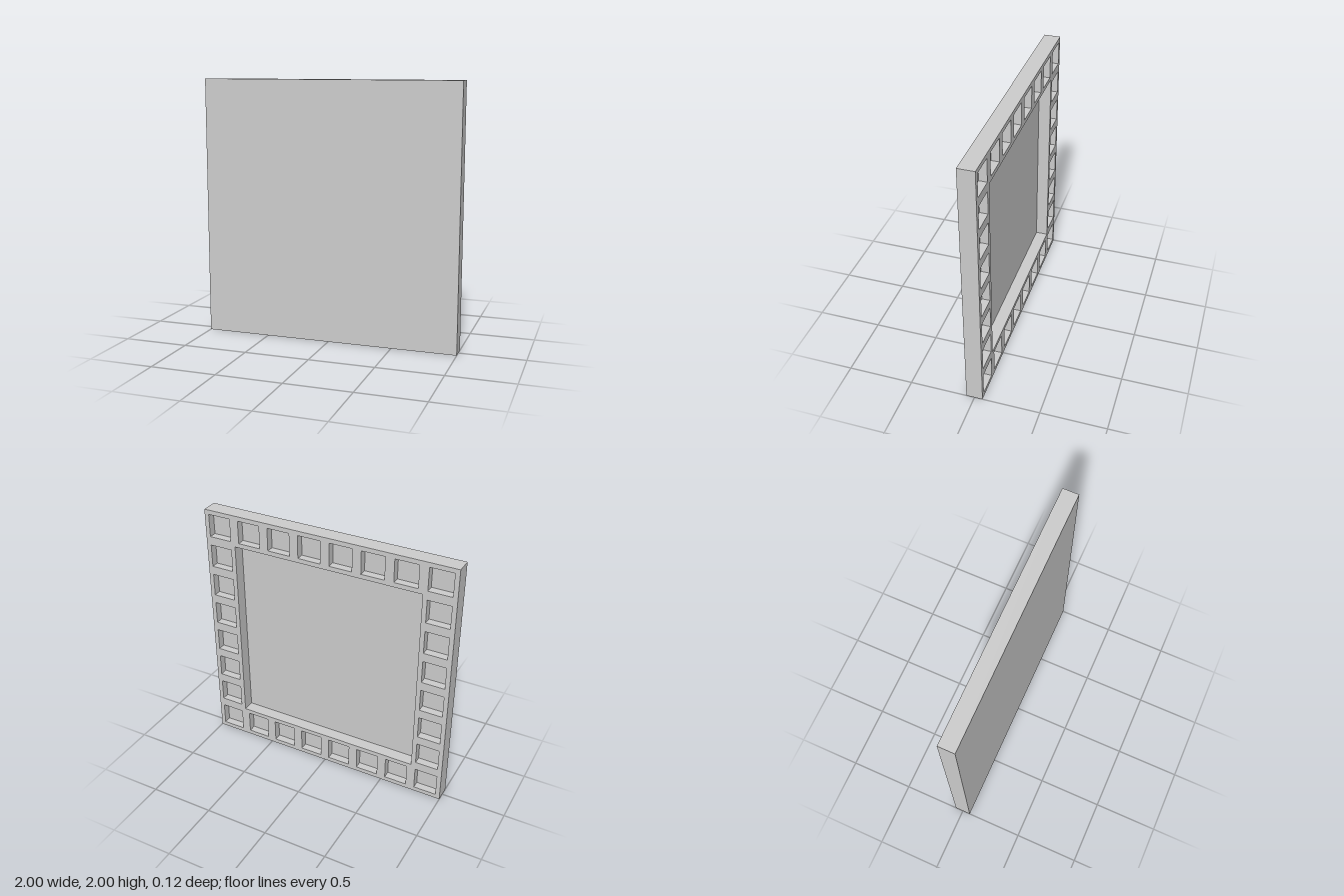
import * as THREE from 'three';

const SIZE = 2, THICK = 0.125, CELLS = 8;
const PITCH = SIZE / CELLS;          // one grid cell of the border
const POCKET = 0.18, POCKET_DEPTH = 0.06;
const RECESS = SIZE - 2 * PITCH, RECESS_DEPTH = 0.093;
const BACK = -THICK / 2;

// Square box with its -z side open, rim on the back plane; inward = faces seen from inside
function openBox(size, depth, inward) {
  const g = new THREE.BoxGeometry(size, size, depth);
  const index = Array.from(g.index.array).slice(0, 30);
  if (inward) {
    index.reverse();
    const n = g.attributes.normal.array;
    for (let i = 0; i < n.length; i++) n[i] *= -1;
  }
  g.setIndex(index);
  g.clearGroups();
  return g.translate(0, 0, BACK + depth / 2);
}

// Square outline centred on (x, y)
function square(x, y, size, Type) {
  const h = size / 2;
  return new Type([[-h, -h], [h, -h], [h, h], [-h, h]].map(([a, b]) => new THREE.Vector2(x + a, y + b)));
}

export function createModel() {
  const group = new THREE.Group();
  group.name = 'panel';
  const material = new THREE.MeshStandardMaterial({ color: 0xcccccc });

  const add = (name, geometry, x = 0, y = 0) => {
    const mesh = new THREE.Mesh(geometry, material);
    mesh.name = name;
    mesh.position.set(x, y + SIZE / 2, 0);
    group.add(mesh);
  };

  // Plain front and edges
  add('outerShell', openBox(SIZE, THICK, false));

  // Large recess in the back
  add('centreRecess', openBox(RECESS, RECESS_DEPTH, true));

  // Back border, pierced by the recess and a ring of pockets
  const border = square(0, 0, SIZE, THREE.Shape);
  border.holes.push(square(0, 0, RECESS, THREE.Path));
  const pocket = openBox(POCKET, POCKET_DEPTH, true);
  const last = CELLS - 1;
  for (let i = 0; i < CELLS; i++) {
    for (let j = 0; j < CELLS; j++) {
      if (i > 0 && i < last && j > 0 && j < last) continue;
      const x = (i - last / 2) * PITCH, y = (j - last / 2) * PITCH;
      border.holes.push(square(x, y, POCKET, THREE.Path));
      add('pocket', pocket, x, y);
    }
  }
  add('backBorder', new THREE.ShapeGeometry(border).rotateY(Math.PI).translate(0, 0, BACK));

  return group;
}
